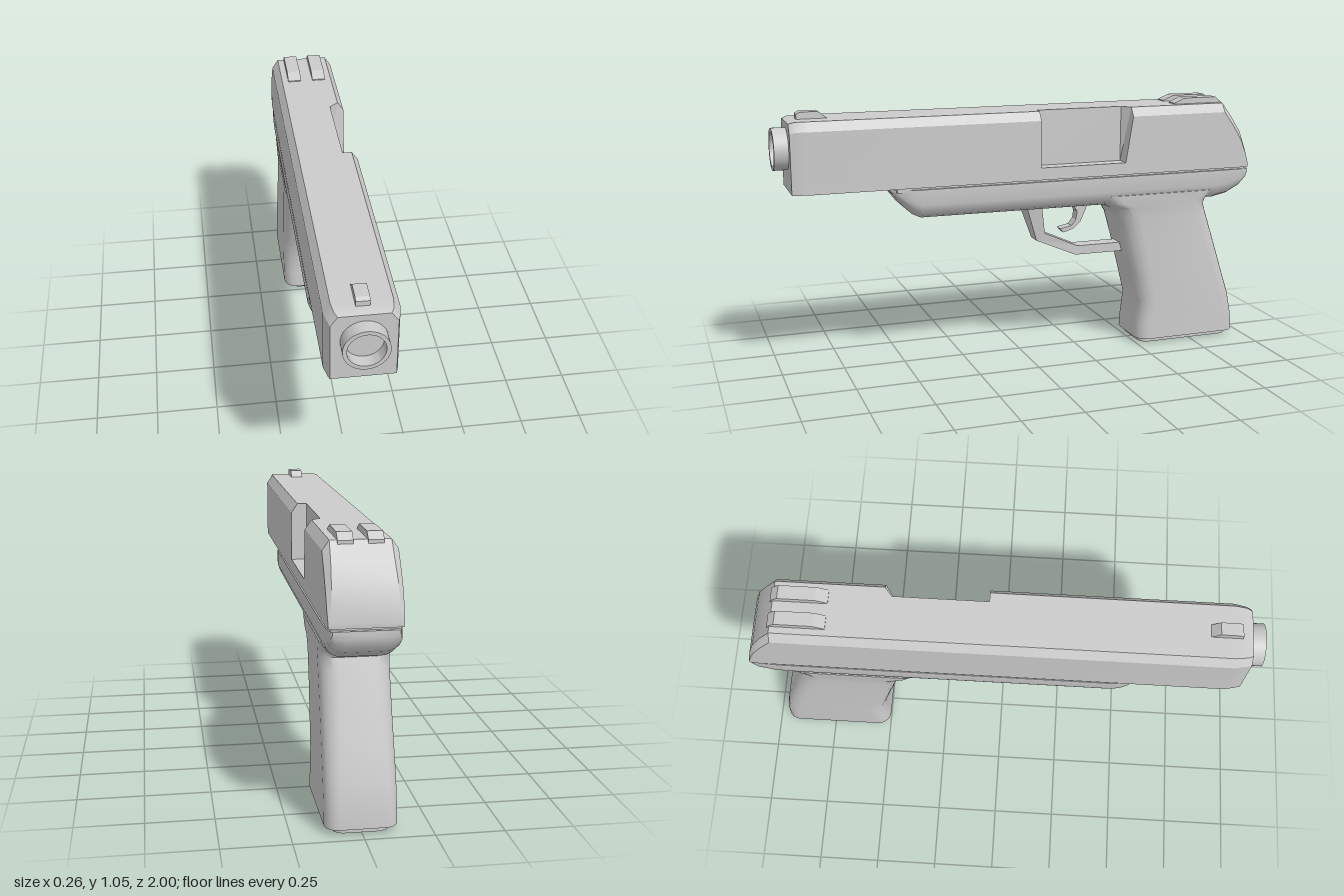
import * as THREE from 'three';
import { toCreasedNormals } from 'three/addons/utils/BufferGeometryUtils.js';

const material = new THREE.MeshStandardMaterial({ color: 0xcccccc });

function add(parent, name, geometry) {
  const mesh = new THREE.Mesh(geometry, material);
  mesh.name = name;
  parent.add(mesh);
  return mesh;
}

// Skin a list of closed rings (same point count) and cap both ends
function loft(rings, crease = 0.6) {
  const n = rings[0].length;
  const tris = [];
  const tri = (a, b, c) => {
    const area = b.clone().sub(a).cross(c.clone().sub(a)).length();
    if (area > 1e-8) tris.push([a, b, c]);
  };
  for (let i = 0; i < rings.length - 1; i++) {
    for (let j = 0; j < n; j++) {
      const k = (j + 1) % n;
      const [a, b, c, d] = [rings[i][j], rings[i][k], rings[i + 1][k], rings[i + 1][j]];
      tri(a, b, c);
      tri(a, c, d);
    }
  }
  const cap = (ring, flip) => {
    const mid = new THREE.Vector3();
    ring.forEach((p) => mid.addScaledVector(p, 1 / n));
    ring.forEach((p, j) => {
      const q = ring[(j + 1) % n];
      if (flip) tri(mid, q, p);
      else tri(mid, p, q);
    });
  };
  cap(rings[0], true);
  cap(rings[rings.length - 1], false);
  // Signed volume decides which way the faces turn
  const volume = tris.reduce((v, [a, b, c]) => v + a.dot(b.clone().cross(c)), 0);
  const points = tris.flatMap(([a, b, c]) => (volume < 0 ? [a, c, b] : [a, b, c]));
  return toCreasedNormals(new THREE.BufferGeometry().setFromPoints(points), crease);
}

// Extrude a side profile of [z, y] points between x0 and x1
function sideProfile(points, x0, x1) {
  const shape = new THREE.Shape(points.map(([z, y]) => new THREE.Vector2(-z, y)));
  const geometry = new THREE.ExtrudeGeometry(shape, { depth: x1 - x0, bevelEnabled: false });
  return geometry.rotateY(Math.PI / 2).translate(x0, 0, 0);
}

// Slide cross-section; the cut version opens the port on the +x side
function slideRing(z, hw, topHw, top, cut = false) {
  const base = 0.75, h = top - base;
  const step = base + Math.min(0.05, h * 0.4);
  const shoulder = top - Math.min(0.036, h * 0.3);
  const right = cut
    ? [[hw, base], [hw, step], [0.07, step], [0.07, top]]
    : [[hw, base], [hw, step], [hw, shoulder], [topHw, top]];
  const left = [[-topHw, top], [-hw, shoulder], [-hw, step], [-hw, base]];
  return [...right, ...left].map(([x, y]) => new THREE.Vector3(x, y, z));
}

// Frame cross-section: flat top, rounded lower edges
function frameRing([z, hw, bottom]) {
  const top = 0.742, h = top - bottom;
  const half = [[hw, top], [hw, bottom + 0.48 * h], [hw - 0.008, bottom + 0.28 * h],
    [hw - 0.025, bottom + 0.1 * h], [hw - 0.05, bottom]];
  const mirrored = half.map(([x, y]) => [-x, y]).reverse();
  return [...half, ...mirrored].map(([x, y]) => new THREE.Vector3(x, y, z));
}

// Horizontal rounded rectangle with separate front and back corner radii
function gripRing([y, front, back, hw, rf, rb]) {
  const ring = [];
  const corners = [[1, front - rf, rf], [-1, front - rf, rf], [-1, back + rb, rb], [1, back + rb, rb]];
  corners.forEach(([side, z, r], c) => {
    for (let i = 0; i <= 5; i++) {
      const a = (c + i / 5) * Math.PI / 2;
      ring.push(new THREE.Vector3(side * (hw - r) + r * Math.cos(a), y, z + r * Math.sin(a)));
    }
  });
  return ring;
}

export function createModel() {
  const model = new THREE.Group();
  model.name = 'pistol';

  // Slide with ejection port and sloping rear
  add(model, 'slide', loft([
    slideRing(0.945, 0.115, 0.09, 1.018),
    slideRing(0.925, 0.122, 0.1, 1.025),
    slideRing(0.88, 0.131, 0.106, 1.026),
    slideRing(-0.05, 0.131, 0.106, 1.026),
    slideRing(-0.05, 0.131, 0.106, 1.026, true),
    slideRing(-0.42, 0.131, 0.106, 1.026, true),
    slideRing(-0.45, 0.131, 0.106, 1.026),
    slideRing(-0.87, 0.131, 0.106, 1.026),
    slideRing(-0.915, 0.131, 0.108, 0.965),
    slideRing(-0.955, 0.131, 0.112, 0.9),
    slideRing(-0.98, 0.13, 0.116, 0.825),
    slideRing(-0.992, 0.128, 0.12, 0.768),
  ], 0.5));

  // Barrel end with a recessed bore
  const barrel = [[0.082, 0.9], [0.082, 1], [0.067, 1], [0.067, 0.95], [0, 0.95]]
    .map(([r, z]) => new THREE.Vector2(r, z));
  const barrelGeometry = new THREE.LatheGeometry(barrel, 40).rotateX(Math.PI / 2);
  add(model, 'barrel', toCreasedNormals(barrelGeometry, 0.6)).position.y = 0.912;

  // Sights
  add(model, 'frontSight', sideProfile(
    [[0.905, 1.0], [0.905, 1.045], [0.89, 1.053], [0.82, 1.053], [0.785, 1.025], [0.785, 1.0]], -0.025, 0.025));
  for (const side of [-1, 1]) {
    add(model, side > 0 ? 'leftRearSight' : 'rightRearSight', sideProfile(
      [[-0.66, 1.02], [-0.66, 1.03], [-0.705, 1.05], [-0.85, 1.05], [-0.88, 1.025], [-0.88, 1.0]],
      side * 0.0525 - 0.0275, side * 0.0525 + 0.0275));
  }

  // Narrow rail showing as a groove between slide and frame
  add(model, 'slideRail', new THREE.BoxGeometry(0.24, 0.03, 1.52)).position.set(0, 0.747, -0.22);

  // Frame under the slide, ending in a rounded tail
  add(model, 'frame', loft([
    [0.56, 0.085, 0.734], [0.54, 0.105, 0.708], [0.505, 0.122, 0.665], [0.475, 0.129, 0.638],
    [0.44, 0.131, 0.622], [-0.35, 0.131, 0.62], [-0.85, 0.131, 0.62], [-0.91, 0.13, 0.632],
    [-0.965, 0.127, 0.662], [-0.99, 0.12, 0.69], [-0.996, 0.115, 0.715],
  ].map(frameRing), 0.7));

  // Grip: height, front z, back z, half width, corner radii
  add(model, 'grip', loft([
    [0.022, -0.5, -0.962, 0.13, 0.055, 0.05],
    [0.09, -0.503, -0.958, 0.13, 0.058, 0.052],
    [0.185, -0.512, -0.94, 0.13, 0.065, 0.055],
    [0.3, -0.48, -0.904, 0.129, 0.075, 0.06],
    [0.45, -0.438, -0.857, 0.128, 0.085, 0.065],
    [0.56, -0.405, -0.82, 0.128, 0.09, 0.065],
    [0.6, -0.382, -0.806, 0.129, 0.09, 0.06],
    [0.622, -0.335, -0.815, 0.13, 0.09, 0.06],
    [0.66, -0.3, -0.86, 0.13, 0.09, 0.06],
  ].map(gripRing), 0.7));
  add(model, 'magazineBase', loft([
    [0, -0.522, -0.938, 0.1, 0.04, 0.04], [0.03, -0.522, -0.938, 0.1, 0.04, 0.04],
  ].map(gripRing)));

  // Trigger guard, widening where it meets the frame
  const guard = sideProfile([[-0.01, 0.64], [-0.065, 0.475], [-0.24, 0.4], [-0.48, 0.4],
    [-0.48, 0.438], [-0.25, 0.438], [-0.1, 0.505], [-0.078, 0.64]], -0.033, 0.033);
  const p = guard.attributes.position;
  for (let i = 0; i < p.count; i++) {
    const widen = 1 + 0.75 * THREE.MathUtils.clamp((p.getY(i) - 0.475) / 0.165, 0, 1);
    p.setX(i, p.getX(i) * widen);
  }
  guard.computeVertexNormals();
  add(model, 'triggerGuard', guard);

  // Curved trigger
  add(model, 'trigger', sideProfile([[-0.215, 0.64], [-0.25, 0.585], [-0.245, 0.55], [-0.225, 0.525],
    [-0.175, 0.515], [-0.19, 0.498], [-0.235, 0.512], [-0.265, 0.54], [-0.29, 0.595], [-0.3, 0.64]], -0.022, 0.022));

  return model;
}
